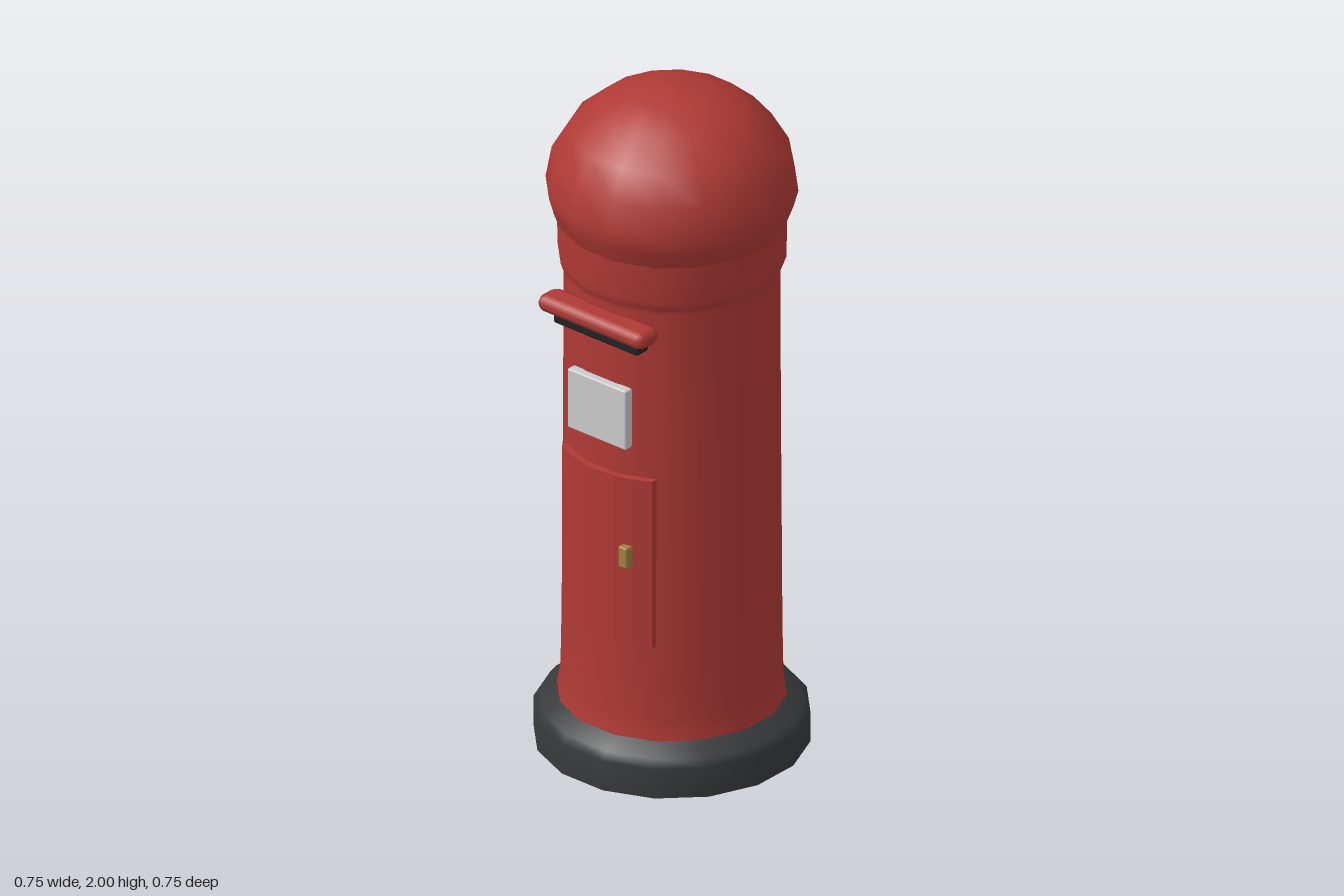
import * as THREE from 'three';
import { RoundedBoxGeometry } from 'three/addons/geometries/RoundedBoxGeometry.js';

const SIDES = 16;

function material(color, side = THREE.FrontSide) {
  return new THREE.MeshStandardMaterial({ color, side });
}

export function createModel() {
  const model = new THREE.Group();
  const red = material(0xb03a36);
  const redShell = material(0xb03a36, THREE.DoubleSide);
  const darkShell = material(0x38393b, THREE.DoubleSide);
  const black = material(0x222324);
  const grey = material(0xcccccc);
  const brass = material(0xa08040);

  function add(name, geometry, mat, x = 0, y = 0, z = 0) {
    const mesh = new THREE.Mesh(geometry, mat);
    mesh.name = name;
    mesh.position.set(x, y, z);
    model.add(mesh);
    return mesh;
  }

  // Turned open shell with a flat facet facing the front
  function turned(name, profile, mat) {
    const points = profile.map(([r, y]) => new THREE.Vector2(r, y));
    return add(name, new THREE.LatheGeometry(points, SIDES, Math.PI / SIDES), mat);
  }

  // Softly bevelled block given by its size and centre
  function block(name, [w, h, d], bevel, mat, x, y, z) {
    return add(name, new RoundedBoxGeometry(w, h, d, 1, bevel), mat, x, y, z);
  }

  // Hollow plinth, open underneath
  turned('base', [[0.38, 0], [0.38, 0.09], [0.362, 0.112], [0.316, 0.142]], darkShell);

  // Pillar with a flared foot and a wider collar below the cap
  turned('pillar', [
    [0.316, 0.138], [0.312, 0.16], [0.306, 0.2], [0.303, 0.36],
    [0.299, 1.0], [0.297, 1.45], [0.305, 1.47], [0.314, 1.495],
    [0.316, 1.61],
  ], redShell);

  // Overhanging cap: curved lip, then a dome
  const cap = [[0.316, 1.605], [0.333, 1.65]];
  const steps = 5;
  for (let i = 0; i <= steps; i++) {
    const a = (i / steps) * Math.PI / 2;
    cap.push([i === steps ? 0 : 0.347 * Math.cos(a), 1.7 + 0.3 * Math.sin(a)]);
  }
  turned('cap', cap, redShell);

  // Posting slot under its hood
  block('hood', [0.38, 0.05, 0.085], 0.022, red, 0, 1.405, 0.307);
  block('slot', [0.304, 0.036, 0.05], 0.008, black, 0, 1.364, 0.296);

  // Notice plate
  block('noticePlate', [0.21, 0.182, 0.03], 0.005, grey, 0, 1.128, 0.3);

  // Door: a curved slab wrapped around the pillar
  const half = Math.asin(0.162 / 0.315);
  const arc = new THREE.Shape();
  const segments = 6;
  for (let i = 0; i <= segments; i++) {
    const a = -half + (2 * half * i) / segments;
    const x = 0.315 * Math.sin(a), y = -0.315 * Math.cos(a);
    if (i === 0) arc.moveTo(x, y); else arc.lineTo(x, y);
  }
  arc.lineTo(0.162, -0.24);
  arc.lineTo(-0.162, -0.24);
  arc.closePath();
  const door = new THREE.ExtrudeGeometry(arc, { depth: 0.515, bevelEnabled: false });
  door.rotateX(-Math.PI / 2);
  add('door', door, red, 0, 0.428, 0);

  // Lock on the door
  block('lock', [0.032, 0.065, 0.03], 0.006, brass, 0.097, 0.705, 0.305);

  return model;
}
